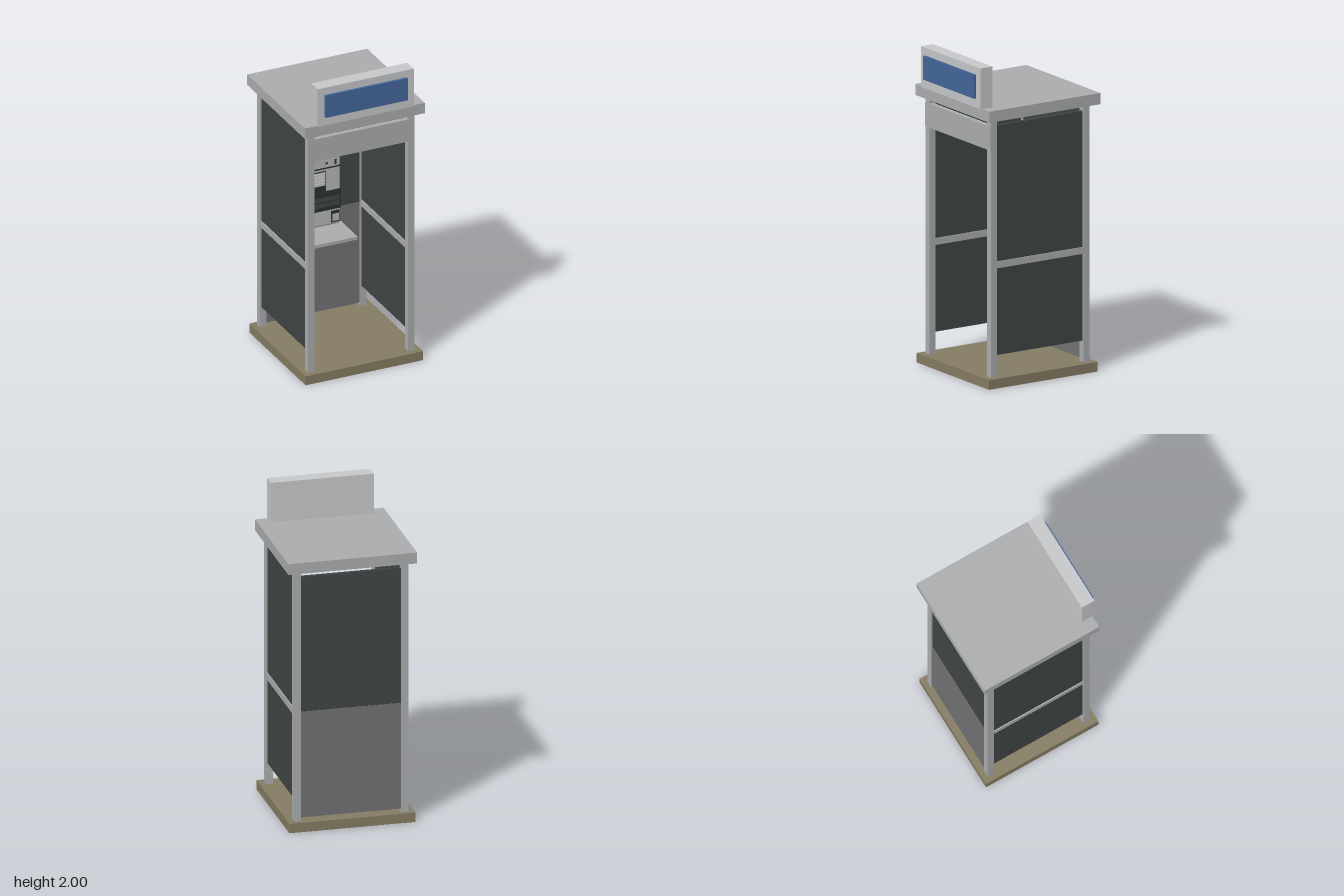
import * as THREE from 'three';
import { RoundedBoxGeometry } from 'three/addons/geometries/RoundedBoxGeometry.js';

const mat = (name, color, side = THREE.FrontSide) => {
  const m = new THREE.MeshStandardMaterial({ color, side });
  m.name = name;
  return m;
};

export function createModel() {
  const frame = mat('frame grey', 0xacadaf);
  const signGrey = mat('sign light grey', 0xc7c8ca);
  const blue = mat('sign blue', 0x43669c);
  const glass = mat('dark glass', 0x404645);
  const lower = mat('lower panel grey', 0x727174);
  const tan = mat('base tan', 0x857c62);
  const steel = mat('phone steel', 0xb6b8ba);
  const black = mat('phone black', 0x2e3132);

  const booth = new THREE.Group();
  booth.name = 'phoneBooth';

  const add = (name, geometry, material, x, y, z, parent = booth) => {
    const mesh = new THREE.Mesh(geometry, material);
    mesh.name = name;
    mesh.position.set(x, y, z);
    parent.add(mesh);
    return mesh;
  };
  // Box given by its limits on each axis
  const box = (name, material, [x0, x1], [y0, y1], [z0, z1], parent = booth) =>
    add(name, new THREE.BoxGeometry(x1 - x0, y1 - y0, z1 - z0), material,
      (x0 + x1) / 2, (y0 + y1) / 2, (z0 + z1) / 2, parent);

  // Base, roof and sign
  box('base', tan, [-0.397, 0.392], [0, 0.06], [-0.406, 0.386]);
  box('roof', frame, [-0.404, 0.402], [1.675, 1.745], [-0.42, 0.389]);
  box('signBox', signGrey, [-0.324, 0.322], [1.745, 2], [0.313, 0.402]);
  box('signFace', blue, [-0.278, 0.276], [1.803, 1.952], [0.4, 0.418]);

  // Corner posts
  const postX = [[-0.361, -0.317], [0.311, 0.355]];
  const postZ = [[-0.373, -0.329], [0.302, 0.346]];
  for (const px of postX) for (const pz of postZ) box('post', frame, px, [0.06, 1.675], pz);

  // Header over the doorway
  box('header', frame, [-0.36, 0.354], [1.483, 1.633], [0.315, 0.348]);

  // Side glazing and rails
  for (const cx of [-0.339, 0.333]) {
    box('sideGlass', glass, [cx - 0.012, cx + 0.012], [0.195, 1.633], [-0.33, 0.303]);
    box('sideRail', frame, [cx - 0.019, cx + 0.019], [0.74, 0.782], [-0.33, 0.303]);
  }

  // Back wall
  box('backGlass', glass, [-0.318, 0.312], [0.762, 1.633], [-0.363, -0.339]);
  box('backLowerPanel', lower, [-0.318, 0.312], [0.08, 0.762], [-0.366, -0.336]);

  // Shelf
  box('shelf', frame, [-0.188, 0.184], [0.642, 0.663], [-0.337, -0.1]);

  // Telephone
  const phone = new THREE.Group();
  phone.name = 'telephone';
  booth.add(phone);
  const front = -0.225;
  const plate = (name, material, xs, ys, lift = 0.006) =>
    box(name, material, xs, ys, [front - 0.003, front + lift], phone);

  add('phoneBody', new RoundedBoxGeometry(0.217, 0.544, 0.115, 3, 0.016), steel, 0.0235, 0.98, -0.2825, phone);
  plate('upperSeam', black, [-0.083, 0.13], [1.099, 1.108], 0.002);
  plate('displayBezel', black, [-0.052, 0.1], [1.17, 1.226], 0.004);
  plate('displayWindow', lower, [-0.04, 0.09], [1.184, 1.212], 0.007);
  for (const x of [-0.055, 0.1]) {
    const screw = add('screw', new THREE.CylinderGeometry(0.006, 0.006, 0.008, 12), black, x, 1.236, front, phone);
    screw.rotation.x = Math.PI / 2;
  }
  plate('coinSlot', black, [0.09, 0.102], [1.12, 1.152], 0.004);
  plate('cardSlot', black, [0.03, 0.042], [1.13, 1.142], 0.004);

  // Keypad
  plate('keypadRim', black, [-0.068, 0.032], [0.948, 1.086], 0.003);
  plate('keypad', steel, [-0.062, 0.026], [0.99, 1.08], 0.006);
  for (let r = 0; r < 4; r++) for (let c = 0; c < 3; c++) {
    const x = -0.042 + c * 0.024, y = 1.066 - r * 0.021;
    plate('key', signGrey, [x - 0.009, x + 0.009], [y - 0.008, y + 0.008], 0.012);
  }

  // Dark middle band with slots
  plate('instructionBand', black, [-0.083, 0.13], [0.818, 0.948], 0.006);
  for (const y of [0.845, 0.882]) plate('bandStrip', glass, [-0.07, 0.117], [y, y + 0.026], 0.01);

  // Coin return
  plate('coinReturnRim', black, [0.067, 0.122], [0.728, 0.806], 0.004);
  plate('coinReturnFlap', steel, [0.074, 0.115], [0.738, 0.785], 0.008);

  // Handset on its cradle
  const handset = new THREE.Group();
  handset.name = 'handset';
  phone.add(handset);
  const hx = -0.126;
  for (const y of [1.12, 0.975]) {
    const cup = add('handsetCup', new THREE.CylinderGeometry(0.027, 0.022, 0.035, 20), black, hx, y, -0.23, handset);
    cup.rotation.x = -Math.PI / 2;
  }
  const grip = new THREE.CatmullRomCurve3([[1.12, -0.216], [1.085, -0.203], [1.0475, -0.199], [1.01, -0.203], [0.975, -0.216]]
    .map(([y, z]) => new THREE.Vector3(hx, y, z)));
  add('handsetGrip', new THREE.TubeGeometry(grip, 16, 0.011, 10), black, 0, 0, 0, handset);
  box('cradle', black, [-0.146, -0.08], [1.085, 1.105], [-0.27, -0.235], phone);

  return booth;
}
